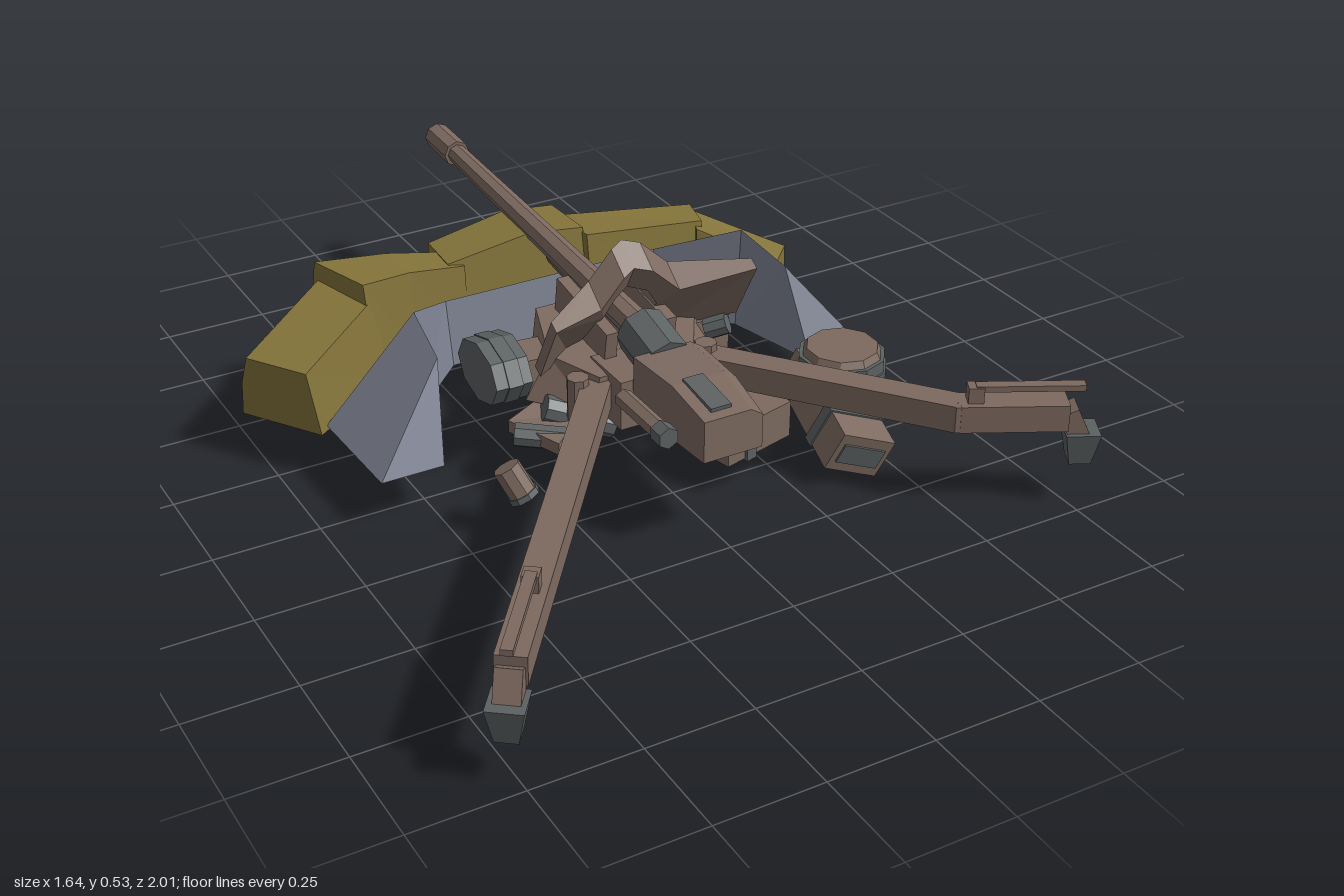
import * as THREE from 'three';

const mat = (color) => new THREE.MeshStandardMaterial({ color, flatShading: true, side: THREE.DoubleSide });
const BROWN = mat(0x7d6a60), STEEL = mat(0x5c6162), SLATE = mat(0x828696), OLIVE = mat(0x83733a);
const V = (p) => new THREE.Vector3(...p);

export function createModel() {
  const root = new THREE.Group();
  root.name = 'wreckedFieldGun';

  const add = (name, geo, m, pos = [0, 0, 0], rot = [0, 0, 0]) => {
    const mesh = new THREE.Mesh(geo, m);
    mesh.name = name;
    mesh.position.set(...pos);
    mesh.rotation.set(...rot);
    root.add(mesh);
    return mesh;
  };
  const box = (name, size, pos, m = BROWN, rot) => add(name, new THREE.BoxGeometry(...size), m, pos, rot);

  // Square beam between two points
  const beam = (name, a, b, w, h, m = BROWN) => {
    const p = V(a), q = V(b);
    const mesh = box(name, [w, h, p.distanceTo(q)], p.clone().add(q).multiplyScalar(0.5).toArray(), m);
    mesh.lookAt(q);
    return mesh;
  };
  // Round rod between two points, r0 at a and r1 at b
  const rod = (name, a, b, r0, r1 = r0, m = BROWN, sides = 8) => {
    const p = V(a), q = V(b);
    const geo = new THREE.CylinderGeometry(r1, r0, p.distanceTo(q), sides);
    const mesh = add(name, geo, m, p.clone().add(q).multiplyScalar(0.5).toArray());
    mesh.quaternion.setFromUnitVectors(new THREE.Vector3(0, 1, 0), q.sub(p).normalize());
    return mesh;
  };
  // Faceted solid through cross-section rings, turned outward by its signed volume
  const loft = (name, rings, m) => {
    const tris = [], n = rings[0].length, last = rings[rings.length - 1];
    for (let i = 0; i + 1 < rings.length; i++) for (let j = 0; j < n; j++) {
      const k = (j + 1) % n, a = rings[i], b = rings[i + 1];
      tris.push([a[j], a[k], b[k]], [a[j], b[k], b[j]]);
    }
    for (let j = 1; j + 1 < n; j++) tris.push([rings[0][0], rings[0][j + 1], rings[0][j]], [last[0], last[j], last[j + 1]]);
    const volume = tris.reduce((s, [a, b, c]) => s + V(a).dot(V(b).cross(V(c))), 0);
    if (volume < 0) tris.forEach((t) => t.reverse());
    const geo = new THREE.BufferGeometry();
    geo.setAttribute('position', new THREE.Float32BufferAttribute(tris.flat(2), 3));
    geo.computeVertexNormals();
    return add(name, geo, m);
  };

  // Earth bank: right half stations (outer foot, ridge, inner foot), then mirrored
  const half = [
    [[0.63, 0.12, 0.075], [0.45, 0.345, -0.005], [0.48, 0.12, 0.075]],
    [[0.64, 0.12, -0.21], [0.43, 0.375, -0.17], [0.42, 0.12, -0.17]],
    [[0.42, 0.12, -0.4], [0.28, 0.29, -0.33], [0.27, 0.12, -0.32]],
  ];
  const flip = (ring) => ring.map(([x, y, z]) => [-x, y, z]);
  loft('earthBank', [...half, ...half.map(flip).reverse()], SLATE);

  // Sandbags: each station is outer x, outer z, inner x, inner z, low y, high y
  const bagRing = ([ox, oz, ix, iz, lo, hi]) => {
    const at = (t, f) => [ox + (ix - ox) * t, lo + (hi - lo) * f, oz + (iz - oz) * t];
    return [at(0, 0), at(0.02, 0.55), at(0.1, 1), at(0.85, 1), at(1, 0)];
  };
  [
    [[-0.78, -0.37, -0.66, -0.19, 0.11, 0.26], [-0.53, -0.54, -0.43, -0.34, 0.12, 0.32]],
    [[-0.53, -0.55, -0.46, -0.33, 0.12, 0.365], [-0.34, -0.55, -0.33, -0.39, 0.13, 0.34], [-0.17, -0.53, -0.18, -0.42, 0.14, 0.31]],
    [[-0.21, -0.59, -0.22, -0.42, 0.13, 0.32], [0.0, -0.6, 0.0, -0.41, 0.13, 0.355], [0.13, -0.6, 0.14, -0.4, 0.13, 0.34]],
    [[0.12, -0.56, 0.14, -0.38, 0.11, 0.33], [0.49, -0.52, 0.46, -0.39, 0.09, 0.29]],
    [[0.49, -0.51, 0.43, -0.37, 0.09, 0.28], [0.68, -0.35, 0.59, -0.26, 0.07, 0.2]],
  ].forEach((bag, i) => loft('sandbag' + (i + 1), bag.map(bagRing), OLIVE));

  // Barrel with muzzle brake
  rod('barrel', [0.01, 0.335, 0.12], [0.015, 0.388, -0.9], 0.036, 0.025);
  rod('muzzleBrake', [0.015, 0.387, -0.88], [0.015, 0.392, -1], 0.034);
  rod('muzzleBore', [0.015, 0.392, -0.99], [0.015, 0.392, -1.001], 0.018, 0.018, STEEL);
  rod('recoilCylinder', [0.01, 0.29, 0.1], [0.01, 0.335, -0.34], 0.026, 0.02);

  // Breech
  rod('breechCollar', [0.01, 0.305, 0.2], [0.01, 0.335, 0.08], 0.062, 0.062, STEEL);
  const breechRing = (z, l, r, lo, hi) => [[l, lo, z], [r, lo, z], [r, hi - 0.02, z], [r - 0.03, hi, z], [l, hi, z]];
  loft('breech', [breechRing(0.2, -0.075, 0.1, 0.23, 0.345), breechRing(0.36, -0.07, 0.09, 0.22, 0.35), breechRing(0.495, -0.07, 0.075, 0.23, 0.33)], BROWN);
  box('breechBlock', [0.05, 0.03, 0.12], [-0.015, 0.335, 0.41], STEEL, [0.12, 0, 0]);
  rod('breechLever', [-0.1, 0.25, 0.2], [-0.1, 0.25, 0.37], 0.022, 0.022, BROWN, 6);
  rod('breechLeverEnd', [-0.1, 0.25, 0.36], [-0.1, 0.25, 0.4], 0.026, 0.026, STEEL, 6);

  // Carriage
  loft('carriage', [
    [[-0.12, 0.18, -0.18], [0.13, 0.18, -0.18], [0.13, 0.3, -0.18], [-0.12, 0.3, -0.18]],
    [[-0.24, 0.18, 0], [0.26, 0.18, 0], [0.2, 0.28, 0], [-0.18, 0.28, 0]],
    [[-0.14, 0.18, 0.13], [0.14, 0.18, 0.13], [0.12, 0.27, 0.13], [-0.12, 0.27, 0.13]],
  ], BROWN);
  box('sidePlate', [0.17, 0.1, 0.12], [0.2, 0.22, -0.045]);
  box('pivotBlock', [0.2, 0.12, 0.14], [0, 0.22, 0.12]);
  loft('carriageFoot', [
    [[-0.16, 0.05, -0.13], [0.07, 0.05, -0.17], [0.07, 0.08, -0.01], [-0.14, 0.08, 0]],
    [[-0.13, 0.19, -0.12], [0.1, 0.19, -0.12], [0.1, 0.19, 0.05], [-0.13, 0.19, 0.05]],
  ], BROWN);
  for (const s of [-1, 1]) box('cradleCheek', [0.03, 0.13, 0.24], [0.01 + s * 0.075, 0.3, -0.04], BROWN, [0.15, 0, 0]);

  // Bent gun shield with a barrel arch: one outline, folded and leaned, thick at the arch, mirrored
  for (const s of [-0.82, 1]) {
    const outline = [[0, 0.53], [0.04, 0.52], [0.11, 0.455], [0.28, 0.46], [0.28, 0.31], [0.12, 0.25], [0.07, 0.29], [0.075, 0.41], [0.045, 0.455], [0, 0.47]];
    const geo = new THREE.ExtrudeGeometry(new THREE.Shape(outline.map(([x, y]) => new THREE.Vector2(x, y))), { depth: 1, bevelEnabled: false });
    const p = geo.attributes.position;
    for (let i = 0; i < p.count; i++) {
      const x = p.getX(i), y = p.getY(i), front = p.getZ(i), arch = x < 0.13 && y > 0.4;
      const droop = s < 0 && x > 0.2 ? 0.03 : 0;
      p.setXYZ(i, x * s, y - droop - front * (arch ? 0.045 : 0.015), front * (arch ? 0.06 : 0.025) - 0.1 + (y - 0.33) * 0.55 + x * 0.5);
    }
    geo.computeVertexNormals();
    add(s < 0 ? 'shieldRight' : 'shieldLeft', geo, BROWN);
  }

  // Split trails with spade feet and handspikes
  const trail = (side, path, rodStart) => {
    for (let i = 0; i + 1 < path.length; i++) beam('trail' + side, path[i], path[i + 1], 0.065, 0.065);
    const end = V(path[path.length - 1]), dir = end.clone().sub(V(path[path.length - 2])).normalize();
    const tip = end.clone().addScaledVector(dir, 0.035);
    const foot = add('spade' + side, new THREE.CylinderGeometry(0.055, 0.034, 0.08, 4, 1).rotateY(Math.PI / 4), STEEL, [tip.x, 0.143, tip.z]);
    foot.rotation.y = Math.atan2(dir.x, dir.z);
    beam('spadeNeck' + side, [end.x, 0.235, end.z], [tip.x, 0.16, tip.z], 0.055, 0.045);
    beam('handspike' + side, [rodStart[0], 0.29, rodStart[1]], [tip.x, 0.29, tip.z], 0.025, 0.014);
    box('handspikePost' + side, [0.035, 0.06, 0.035], [rodStart[0], 0.265, rodStart[1]], BROWN, [0, foot.rotation.y, 0]);
  };
  trail('Right', [[-0.1, 0.225, 0.09], [-0.742, 0.225, 0.928]], [-0.61, 0.755]);
  trail('Left', [[0.13, 0.225, 0.08], [0.53, 0.225, 0.58], [0.742, 0.225, 0.69]], [0.56, 0.595]);
  rod('trailElbow', [0.528, 0.193, 0.58], [0.528, 0.257, 0.58], 0.033);
  for (const s of [-1, 1]) rod('trailHinge', [s * 0.165, 0.17, 0.11], [s * 0.165, 0.275, 0.11], 0.026, 0.026, BROWN);
  rod('trailLock', [0.22, 0.25, 0.02], [0.26, 0.27, 0.05], 0.026, 0.026, STEEL);

  // Tilted ammunition crate with straps and a drum on top
  const crate = new THREE.Group();
  crate.name = 'ammunitionCrate';
  crate.position.set(0.42, 0.1, 0.27);
  crate.rotation.set(0.2, -0.2, -0.35);
  root.add(crate);
  crate.add(box('crateBody', [0.14, 0.1, 0.31], [0, 0, 0]));
  crate.add(box('crateFrontPanel', [0.11, 0.05, 0.02], [0, 0, 0.15], STEEL));
  for (const z of [-0.09, 0.06]) crate.add(box('crateStrap', [0.148, 0.108, 0.03], [0, 0, z], STEEL));
  add('drum', new THREE.CylinderGeometry(0.103, 0.103, 0.085, 10), STEEL, [0.48, 0.165, 0.2]);
  add('drumBand', new THREE.CylinderGeometry(0.108, 0.108, 0.025, 10), STEEL, [0.48, 0.165, 0.2]);
  add('drumLid', new THREE.CylinderGeometry(0.085, 0.095, 0.02, 10), BROWN, [0.48, 0.215, 0.2]);

  // Fallen box under the carriage
  box('fallenBox', [0.2, 0.09, 0.14], [0.18, 0.12, 0.23], BROWN, [0, 0.25, 0]);
  box('fallenBoxBand', [0.03, 0.1, 0.15], [0.15, 0.12, 0.24], STEEL, [0, 0.25, 0]);

  // Sighting gear beside the carriage
  rod('sightDrum', [-0.335, 0.255, -0.05], [-0.245, 0.255, -0.05], 0.1, 0.1, STEEL).scale.set(0.72, 1, 1);
  rod('sightDrumBand', [-0.305, 0.255, -0.05], [-0.27, 0.255, -0.05], 0.104, 0.104, STEEL).scale.set(0.72, 1, 1);
  beam('sightArm', [-0.25, 0.24, -0.05], [-0.1, 0.23, -0.05], 0.1, 0.08);
  rod('gearPipe', [-0.22, 0.18, 0.05], [-0.07, 0.12, 0.1], 0.032, 0.032, STEEL);
  rod('gearShaft', [-0.3, 0.14, 0.06], [-0.2, 0.13, 0.12], 0.028, 0.028, STEEL);
  loft('loosePlate', [
    [[-0.24, 0.12, 0.16], [-0.14, 0.13, 0.08], [-0.14, 0.16, 0.08], [-0.24, 0.15, 0.16]],
    [[-0.3, 0.13, 0.03], [-0.2, 0.15, 0], [-0.2, 0.18, 0], [-0.3, 0.16, 0.03]],
  ], BROWN);

  // Spent shell case
  rod('shellCase', [-0.365, 0.095, 0.24], [-0.395, 0.165, 0.21], 0.032);
  rod('shellRim', [-0.365, 0.095, 0.24], [-0.37, 0.107, 0.235], 0.036, 0.036, STEEL);
  return root;
}
